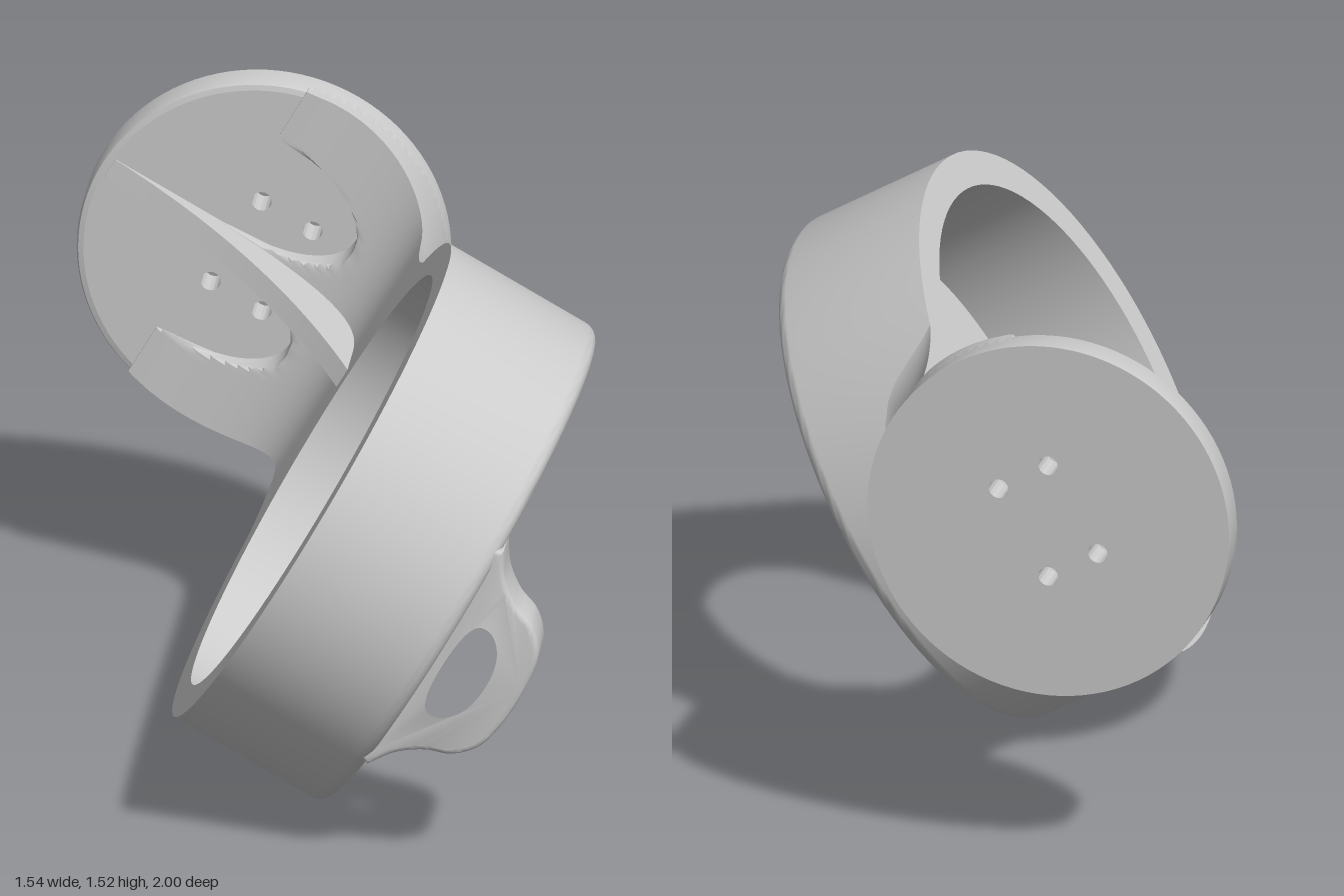
import * as THREE from 'three';
import { toCreasedNormals } from 'three/addons/utils/BufferGeometryUtils.js';

const material = new THREE.MeshStandardMaterial({ color: 0xcccccc });
const V = (x, y) => new THREE.Vector2(x, y);

// Cup: axis along local x, open at x = 0
const CUP_R = 0.74, CUP_IN = 0.64, CUP_LEN = 0.47, CUP_Z = 0.26, FLOOR = 0.09;
// Flange: axis along z
const FL_R = 0.505, FL_X = -0.313, FL_FRONT = -0.9;

function part(name, geometry, group) {
  const mesh = new THREE.Mesh(toCreasedNormals(geometry, 0.6), material);
  mesh.name = name;
  group.add(mesh);
  return mesh;
}

function circle(x, y, r) {
  return new THREE.Path().absarc(x, y, r, 0, Math.PI * 2, false);
}

function disc(r, holes, depth) {
  const shape = new THREE.Shape().absarc(0, 0, r, 0, Math.PI * 2, false);
  shape.holes.push(...holes);
  return new THREE.ExtrudeGeometry(shape, { depth, bevelEnabled: false, curveSegments: 48 });
}

// Grid of points (rows[k][i]) joined into a surface
function gridSurface(rows) {
  const n = rows[0].length, index = [];
  for (let k = 0; k < rows.length - 1; k++) {
    for (let i = 0; i < n - 1; i++) {
      const a = k * n + i, b = a + 1, c = a + n, d = c + 1;
      index.push(a, b, d, a, d, c);
    }
  }
  const g = new THREE.BufferGeometry();
  g.setAttribute('position', new THREE.Float32BufferAttribute(rows.flat(2), 3));
  g.setIndex(index);
  g.computeVertexNormals();
  return g;
}

function addCup(group) {
  const profile = [V(CUP_IN, CUP_LEN), V(CUP_IN, 0), V(CUP_R, 0)];
  for (let i = 0; i <= 6; i++) {
    const q = (i / 6) * Math.PI / 2;
    profile.push(V(CUP_R - 0.04 + 0.04 * Math.cos(q), CUP_LEN - 0.04 + 0.04 * Math.sin(q)));
  }
  profile.push(V(CUP_IN, CUP_LEN));
  const wall = new THREE.LatheGeometry(profile, 96);
  wall.rotateZ(-Math.PI / 2);
  part('cupWall', wall, group).position.z = CUP_Z;

  // Floor with a notched central opening and a ring of screw holes
  const opening = new THREE.Path();
  opening.absarc(0, 0, 0.4, -0.4, 0.4, false);
  opening.absarc(0, 0, 0.375, 0.4, Math.PI * 2 - 0.4, false);
  opening.closePath();
  const holes = [opening];
  for (let k = 0; k < 10; k++) {
    if (k === 4 || k === 5) continue; // covered by the handle
    const q = THREE.MathUtils.degToRad(18 + 36 * k);
    holes.push(circle(0.54 * Math.cos(q), 0.54 * Math.sin(q), 0.024));
  }
  const floor = disc(CUP_IN + 0.003, holes, FLOOR);
  floor.rotateY(Math.PI / 2);
  part('cupFloor', floor, group).position.set(CUP_LEN - FLOOR, 0, CUP_Z);
}

function addHandle(group) {
  const mirrored = half => [...half, ...half.slice().reverse().map(([h, t]) => [h, -t])];
  const smooth = (pts, closed) => new THREE.CatmullRomCurve3(
    pts.map(([h, t]) => new THREE.Vector3(h, t, 0)), closed, 'centripetal')
    .getPoints(72).map(p => V(p.x, p.y));
  const outer = smooth(mirrored([[0.004, 0.37], [0.05, 0.3], [0.113, 0.25], [0.18, 0.222],
    [0.232, 0.165], [0.253, 0.08]]), false);
  const inner = smooth(mirrored([[0.023, 0.105], [0.05, 0.157], [0.095, 0.162],
    [0.14, 0.128], [0.17, 0.06]]), true);
  const shape = new THREE.Shape([V(-0.035, 0.36), ...outer, V(-0.035, -0.36)]);
  inner.pop();
  shape.holes.push(new THREE.Path(inner));
  const b = 0.015;
  const g = new THREE.ExtrudeGeometry(shape, { depth: 0.15 - 2 * b, bevelEnabled: true,
    bevelSize: b, bevelThickness: b, bevelOffset: -b, bevelSegments: 3 });
  part('handle', g, group).position.set(CUP_LEN, 0, 0.75 + b);
}

function addFlange(group) {
  const holes = [];
  for (const sx of [-1, 1]) for (const sy of [-1, 1]) holes.push(circle(sx * 0.08, sy * 0.139, 0.027));
  part('flangePlate', disc(0.485, holes, 0.1), group).position.set(FL_X, 0, -1);
  const rim = new THREE.LatheGeometry([V(0.485, 0), V(FL_R, 0), V(FL_R, 0.085),
    V(0.5, 0.096), V(0.485, 0.1)], 96);
  rim.rotateX(Math.PI / 2);
  part('flangeRim', rim, group).position.set(FL_X, 0, -1);
}

// Arm: the flange's cylinder cut by a concave sweep, flaring into the cup
function addArm(group) {
  const cupZ = t => CUP_Z - Math.sqrt(CUP_R ** 2 - t * t);
  const sweep = z => {
    const u = Math.min(1, Math.max(0, (z - FL_FRONT) / 0.35));
    return Math.max(-0.45, -0.8 * (1 - Math.cbrt(1 - (1 - u) ** 3)));
  };
  // Rounded pocket on each side of the rib
  const pocket = t => {
    const d = (Math.abs(t) - 0.18) / 0.145;
    return Math.abs(d) < 1 ? -0.38 + 0.26 * Math.sqrt(1 - d * d) : -1;
  };
  const levels = [-0.94, -0.9];
  for (let k = 1; k <= 22; k++) levels.push(-0.9 + 0.28 * (k / 22) ** 1.6);
  for (let k = 1; k <= 12; k++) levels.push(-0.62 + 0.14 * Math.sin((k / 12) * Math.PI / 2));

  const wall = [], front = [];
  for (const z of levels) {
    const cut = sweep(z), q = Math.min(1, Math.max(0, (z + 0.62) / 0.14));
    const flare = 0.13 * (1 - Math.sqrt(1 - q * q));
    const lift = t => z + q * (cupZ(t) + 0.48) + 0.006 * q * q;
    const end = Math.acos((cut - FL_X) / FL_R);
    const wallRow = [], frontRow = [];
    for (let i = 0; i <= 64; i++) {
      const th = end * (i / 32 - 1);
      const x = FL_X + FL_R * Math.cos(th);
      const t = (FL_R + flare) * Math.sin(th);
      const push = flare * Math.cos(th) * THREE.MathUtils.smoothstep(x, 0, 0.1);
      wallRow.push([x + push, t, lift(t)]);
    }
    const half = (FL_R + flare) * Math.sin(end);
    for (let i = 0; i <= 96; i++) {
      const t = half * (1 - i / 48);
      frontRow.push([Math.max(cut, pocket(t)), t, lift(t)]);
    }
    wall.push(wallRow);
    front.push(frontRow);
  }
  part('armWall', gridSurface(wall), group);
  part('armFront', gridSurface(front), group);

  // Thin rib between the two pockets
  const rib = new THREE.Shape();
  rib.moveTo(-0.79, -0.91);
  rib.lineTo(-0.79, -0.897);
  rib.quadraticCurveTo(-0.3, -0.85, 0, -0.45);
  rib.lineTo(0.03, -0.45);
  rib.lineTo(0.03, -0.91);
  rib.closePath();
  const g = new THREE.ExtrudeGeometry(rib, { depth: 0.06, bevelEnabled: false, curveSegments: 24 });
  g.translate(0, 0, -0.03);
  g.rotateX(Math.PI / 2);
  part('armRib', g, group);
}

export function createModel() {
  const model = new THREE.Group();
  model.name = 'cupBracket';
  const body = new THREE.Group();
  body.name = 'tiltedBody';
  addCup(body);
  addHandle(body);
  addFlange(body);
  addArm(body);
  body.rotation.z = -Math.PI / 6;
  body.position.y = 0.872;
  model.add(body);
  return model;
}
